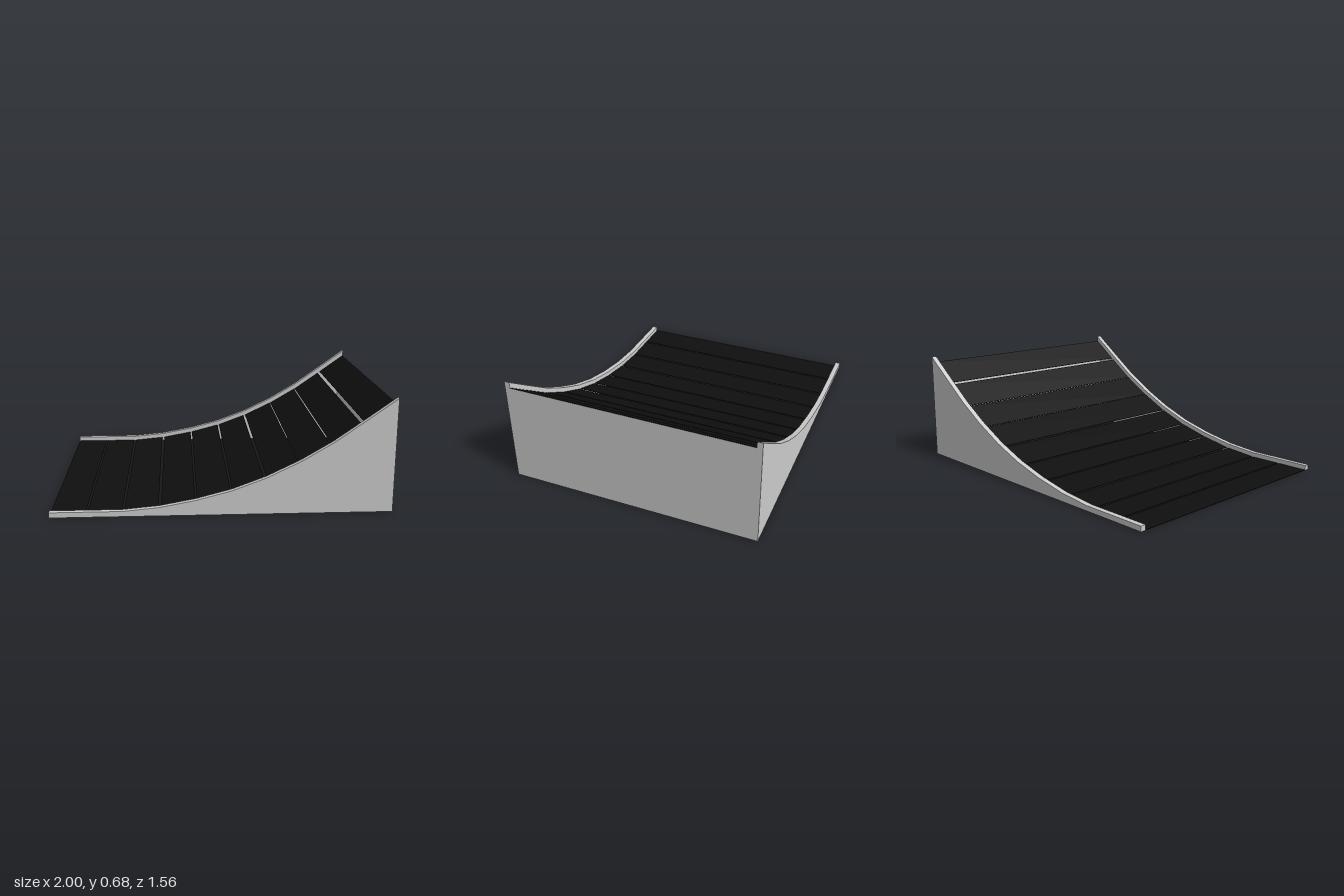
import * as THREE from 'three';

const HALF = 0.778;   // half of the outer width
const INNER = 0.745;  // half of the width between the side panels
const DEPTH = 0.032;  // how far the deck underside sits below the panel edge
const THICK = 0.003;  // slat thickness

// Curved top edge of the side panels
const EDGE = [[-1, 0.032], [-0.58, 0.032], [-0.364, 0.052], [-0.15, 0.092], [0.058, 0.147],
  [0.258, 0.222], [0.455, 0.318], [0.639, 0.427], [0.821, 0.555], [1, 0.683]];

// Start and end of every slat along x
const SLATS = [[-1, -0.797], [-0.786, -0.586], [-0.573, -0.372], [-0.356, -0.155], [-0.144, 0.053],
  [0.064, 0.251], [0.265, 0.452], [0.457, 0.636], [0.642, 0.813], [0.829, 0.998]];

const grey = new THREE.MeshStandardMaterial({ color: 0xcccccc, flatShading: true });
const black = new THREE.MeshStandardMaterial({ color: 0x0f0f0f, flatShading: true });

// Height and slope of the panel edge at x
function edgeAt(x) {
  let i = 0;
  while (i < EDGE.length - 2 && x > EDGE[i + 1][0]) i++;
  const [[x0, y0], [x1, y1]] = [EDGE[i], EDGE[i + 1]];
  const slope = (y1 - y0) / (x1 - x0);
  return { y: y0 + slope * (x - x0), slope };
}

// Height of a line parallel to the edge, a given distance beneath it
function below(x, distance) {
  const { y, slope } = edgeAt(x);
  return y - distance * Math.hypot(1, slope);
}

// Extrude an outline in the xy plane between two z values
function slab(name, points, z0, z1, material) {
  const shape = new THREE.Shape(points.map(([x, y]) => new THREE.Vector2(x, y)));
  const geometry = new THREE.ExtrudeGeometry(shape, { depth: z1 - z0, bevelEnabled: false });
  geometry.translate(0, 0, z0);
  const mesh = new THREE.Mesh(geometry, material);
  mesh.name = name;
  return mesh;
}

export function createModel() {
  const ramp = new THREE.Group();
  ramp.name = 'ramp';

  // Side panels
  const outline = [[-1, 0], [1, 0], ...[...EDGE].reverse()];
  ramp.add(slab('frontSidePanel', outline, INNER, HALF, grey));
  ramp.add(slab('backSidePanel', outline, -HALF, -INNER, grey));

  // Upright panel closing the tall end, its top following the deck
  const end = [[0.968, 0], [1, 0], [1, below(1, DEPTH)], [0.968, below(0.968, DEPTH)]];
  ramp.add(slab('endPanel', end, -INNER, INNER, grey));

  // Deck of thin slats with narrow gaps
  const deck = new THREE.Group();
  deck.name = 'deck';
  SLATS.forEach(([a, b], i) => {
    const slope = edgeAt((a + b) / 2).slope;
    const middle = below((a + b) / 2, DEPTH - THICK / 2);
    const slat = new THREE.Mesh(
      new THREE.BoxGeometry((b - a) * Math.hypot(1, slope), THICK, INNER * 2), black);
    slat.position.set((a + b) / 2, middle, 0);
    slat.rotation.z = Math.atan(slope);
    slat.name = `slat${i + 1}`;
    deck.add(slat);
  });
  ramp.add(deck);

  return ramp;
}
